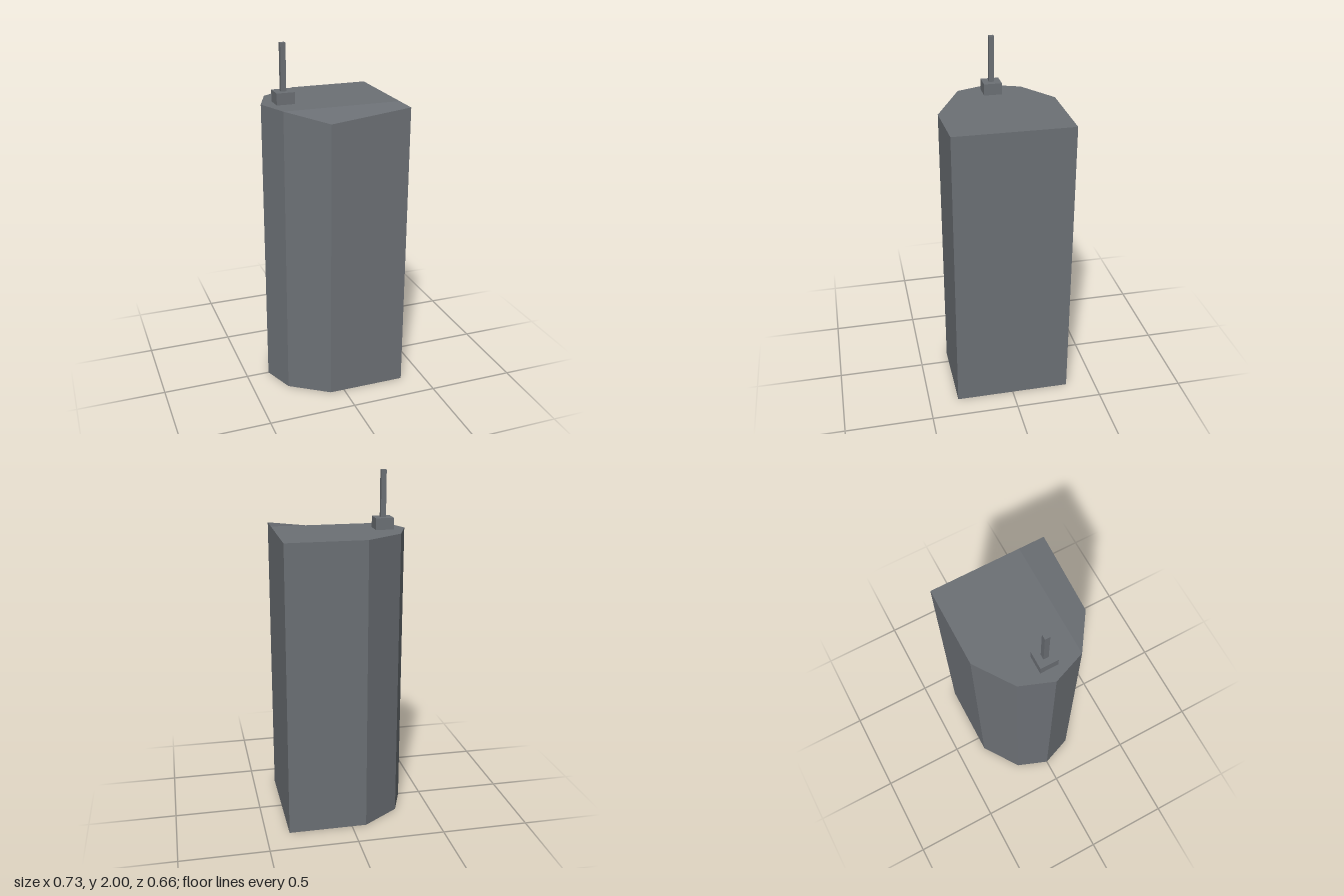
import * as THREE from 'three';

const material = new THREE.MeshStandardMaterial({ color: 0x6c7075, side: THREE.DoubleSide });

// Faceted mesh from a list of corners, three per triangle
function faceted(name, corners) {
  const geometry = new THREE.BufferGeometry();
  geometry.setAttribute('position', new THREE.Float32BufferAttribute(corners.flat(), 3));
  geometry.computeVertexNormals();
  const mesh = new THREE.Mesh(geometry, material);
  mesh.name = name;
  return mesh;
}

// Slightly twisted four-cornered panel, shaded evenly as one face
function panel(name, a, b, c, d) {
  const mesh = faceted(name, [a, b, c, a, c, d]);
  const [va, vb, vc, vd] = [a, b, c, d].map((p) => new THREE.Vector3(...p));
  const normal = vc.sub(va).cross(vd.sub(vb)).normalize();
  const normals = mesh.geometry.attributes.normal;
  for (let i = 0; i < normals.count; i++) normals.setXYZ(i, normal.x, normal.y, normal.z);
  return mesh;
}

// Square post between two heights
function post(name, width, bottom, top) {
  const mesh = new THREE.Mesh(new THREE.BoxGeometry(width, top - bottom, width), material);
  mesh.name = name;
  mesh.position.set(-0.241, (bottom + top) / 2, 0);
  return mesh;
}

export function createModel() {
  const model = new THREE.Group();
  model.name = 'tower';
  const roofY = 1.675;

  // Upper rim, counter-clockwise from above; one front corner dips
  const rim = [
    [0.367, roofY, 0.331], [0.367, roofY, -0.331], [-0.083, roofY, -0.331],
    [-0.297, roofY, -0.184], [-0.367, roofY, 0], [-0.297, roofY, 0.184],
    [-0.083, 1.624, 0.331],
  ];

  // Walls, open underneath
  const walls = [];
  rim.forEach((p, i) => {
    const q = rim[(i + 1) % rim.length];
    const p0 = [p[0], 0, p[2]];
    const q0 = [q[0], 0, q[2]];
    walls.push(p0, q0, q, p0, q, p);
  });
  model.add(faceted('walls', walls));

  // Level roof as a fan from the end of the fold line
  const fold = [0.367, roofY, 0.184];
  const roof = [];
  for (let i = 1; i < 5; i++) roof.push(fold, rim[i], rim[i + 1]);
  model.add(faceted('roof', roof));

  // Sloping strip along the front of the roof
  model.add(panel('roofSlope', fold, rim[5], rim[6], rim[0]));

  // Mast on its plinth
  model.add(post('mastBase', 0.102, roofY, 1.74));
  model.add(post('mast', 0.029, 1.74, 2));
  return model;
}
